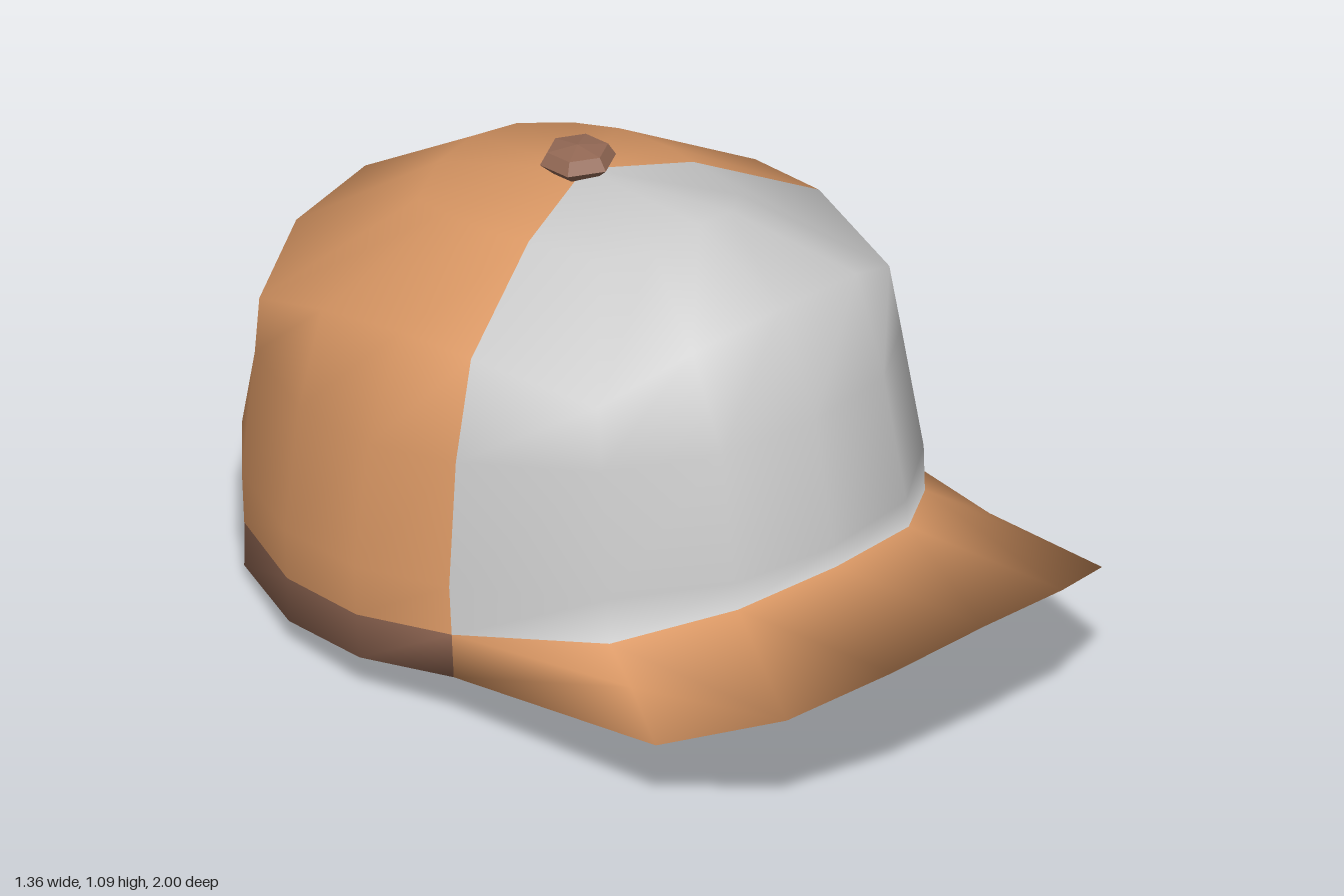
import * as THREE from 'three';

const ORANGE = 0xdd9a66, BROWN = 0x946955, GREY = 0xcccccc, N = 16, ZC = -0.24;
const V = (x, y, z) => new THREE.Vector3(x, y, z);

// Unit outline of the head, front to back (mirrored for the other side)
const OX = [0, 0.26, 0.48, 0.63, 0.675, 0.63, 0.48, 0.26, 0].map((v) => v / 0.675);
const OZ = [0.785, 0.745, 0.575, 0.245, 0, -0.26, -0.545, -0.72, -0.76];
// Lower rings: half width, front z, back z, then height at front, side and back
const LOWER = [
  [0.665, 0.54, -1.0, 0.18, 0.09, 0.0],
  [0.675, 0.55, -0.99, 0.29, 0.2, 0.113],
  [0.68, 0.54, -0.995, 0.41, 0.32, 0.235],
  [0.64, 0.485, -0.98, 0.7, 0.605, 0.53],
];
// Upper rings are boxier: half outline, front to back
const UPPER = [
  [[0, 0.935, 0.38], [0.25, 0.915, 0.36], [0.444, 0.82, 0.266], [0.53, 0.855, -0.035], [0.54, 0.845, -0.24],
    [0.52, 0.79, -0.5], [0.455, 0.69, -0.757], [0.243, 0.76, -0.857], [0, 0.785, -0.89]],
  [[0, 1.043, 0.13], [0.12, 1.02, 0.11], [0.21, 1.0, 0.04], [0.25, 0.993, -0.14], [0.27, 0.985, -0.24],
    [0.265, 0.975, -0.38], [0.24, 0.955, -0.49], [0.12, 0.98, -0.545], [0, 0.99, -0.56]],
];
// The lower front edge arches up where the brim is sewn on
const ARCH = [[0.345, 0.325, 0.25, 0.12], [0.365, 0.345, 0.28, 0.23]];

function makeGrid() {
  const lower = LOWER.map(([rx, zf, zb, yf, ys, yb], r) => OX.map((ox, h) => {
    const isFront = h < 4;
    const t = isFront ? OZ[h] / OZ[0] : OZ[h] / OZ[8];
    const y = r < 2 && isFront ? ARCH[r][h] : ys + t * ((isFront ? yf : yb) - ys);
    return [rx * ox, y, ZC + t * ((isFront ? zf : zb) - ZC)];
  }));
  const apex = OX.map(() => [0, 1.043, -0.22]);
  return [...lower, ...UPPER, apex].map((half) => Array.from({ length: N }, (_, k) => {
    const [x, y, z] = half[Math.min(k, N - k)];
    return V(k <= 8 ? x : -x, y, z);
  }));
}

// All fabric parts share welded points, so shading flows from one part to the next
function makeFabric() {
  const points = [], lookup = new Map(), parts = new Map();
  const weld = (p) => {
    const key = p.toArray().map((v) => Math.round(v * 1e4)).join();
    if (!lookup.has(key)) lookup.set(key, points.push(p) - 1);
    return lookup.get(key);
  };
  const loft = (name, color, rows) => {
    if (!parts.has(name)) parts.set(name, { color, idx: [] });
    const { idx } = parts.get(name);
    const ids = rows.map((row) => row.map(weld));
    const tri = (a, b, c) => { if (a !== b && b !== c && c !== a) idx.push(a, b, c); };
    for (let r = 0; r + 1 < ids.length; r++)
      for (let k = 0; k + 1 < ids[r].length; k++) {
        tri(ids[r][k], ids[r][k + 1], ids[r + 1][k + 1]);
        tri(ids[r][k], ids[r + 1][k + 1], ids[r + 1][k]);
      }
  };
  const addTo = (group) => {
    const whole = new THREE.BufferGeometry().setFromPoints(points);
    whole.setIndex([...parts.values()].flatMap((p) => p.idx));
    whole.computeVertexNormals();
    for (const [name, { color, idx }] of parts) {
      const geo = whole.clone();
      geo.setIndex(idx);
      const m = new THREE.Mesh(geo, new THREE.MeshStandardMaterial({ color, side: THREE.DoubleSide }));
      m.name = name;
      group.add(m);
    }
  };
  return { loft, addTo };
}

export function createModel() {
  const cap = new THREE.Group();
  cap.name = 'cap';
  const { loft, addTo } = makeFabric();
  const shell = makeGrid(), crown = makeGrid();
  const inner = makeGrid().map((ring, r) =>
    ring.map((p) => V(p.x * 0.94, p.y - (r > 3 ? 0.035 : 0), ZC + (p.z - ZC) * 0.94)));
  const pick = (ring, from, to) =>
    Array.from({ length: to - from + 1 }, (_, i) => ring[(from + i + N) % N]);

  // Notch at the back: its lower corners, flared sides and arched lip
  for (const [k, side, s] of [[7, 6, 1], [9, 10, -1]]) {
    crown[1][k].lerp(crown[1][side], 0.19);
    crown[2][k].set(s * 0.31, 0.25, -0.955);
  }
  const lip = [V(0.2, 0.265, -0.975), V(0, 0.29, -1), V(-0.2, 0.265, -0.975)];
  const lipInner = lip.map((p) => V(p.x, 0.2, p.z + 0.03));

  // Crown panels
  loft('frontPanel', GREY, crown.slice(1).map((ring) => pick(ring, -3, 3)));
  loft('rearCrown', ORANGE, crown.slice(3).map((ring) => pick(ring, 3, 13)));
  for (const [from, to] of [[3, 7], [9, 13]])
    loft('rearCrown', ORANGE, crown.slice(1, 4).map((ring) => pick(ring, from, to)));
  const [a, b, c] = pick(crown[3], 7, 9);
  loft('rearCrown', ORANGE, [
    [crown[2][7], ...lip, crown[2][9]],
    [a, a.clone().lerp(b, 0.5), b, b.clone().lerp(c, 0.5), c],
  ]);
  loft('rearCrown', ORANGE, [[crown[1][7], crown[1][7]], [crown[2][7], lip[0]]]);
  loft('rearCrown', ORANGE, [[crown[1][9], crown[1][9]], [lip[2], crown[2][9]]]);

  // Sweatband, rim and lining
  loft('band', BROWN, [pick(shell[0], 3, 13), pick(shell[1], 3, 13)]);
  loft('rim', BROWN, [pick(inner[0], 0, N), pick(shell[0], 0, N)]);
  loft('lining', BROWN, [6, 5, 4, 3, 0].map((r) => pick(inner[r], 0, N)));

  // Edges of the notch
  loft('notchLip', ORANGE, [lipInner, lip]);
  loft('strapTop', BROWN, [pick(shell[1], 6, 10), pick(inner[1], 6, 10)]);
  for (const [k, side, i] of [[7, 6, 0], [9, 10, 2]]) {
    const foot = inner[1][k].clone().lerp(inner[1][side], 0.19);
    const rows = [[crown[1][k], foot], [lip[i], lipInner[i]]];
    loft('notchSide', BROWN, i === 0 ? rows : rows.reverse());
  }

  // Brim: curved top and underside, with a ridge and a folded edge at each side
  const half = [V(0, 0.395, 1), V(0.26, 0.375, 0.98), V(0.48, 0.305, 0.88), V(0.6, 0.18, 0.6)];
  const edge = [...half.slice(1).reverse().map((p) => V(-p.x, p.y, p.z)), ...half];
  const rootTop = pick(shell[1], -3, 3), rootLow = pick(shell[0], -3, 3);
  loft('brimTop', ORANGE, [edge.slice(1, 6), rootTop.slice(1, 6)]);
  loft('brimUnderside', BROWN, [rootLow, edge]);
  for (const [i, j, s] of [[6, 5, 1], [0, 1, -1]]) {
    const ridge = V(s * 0.545, 0.25, 0.47);
    const top = [[edge[j], edge[i]], [edge[j], ridge], [rootTop[j], ridge], [rootTop[j], rootTop[i]]];
    const fold = [[rootTop[i], ridge, edge[i]], [rootLow[i], rootLow[i], edge[i]]];
    loft('brimTop', ORANGE, s > 0 ? top : top.map((row) => row.reverse()));
    loft('brimSide', ORANGE, s > 0 ? fold : fold.reverse());
  }
  addTo(cap);

  // Button on top
  const profile = [[0, -0.03], [0.055, -0.03], [0.085, -0.004], [0.068, 0.024], [0, 0.033]];
  const button = new THREE.Mesh(
    new THREE.LatheGeometry(profile.map(([x, y]) => new THREE.Vector2(x, y)), 6),
    new THREE.MeshStandardMaterial({ color: BROWN, flatShading: true }));
  button.name = 'button';
  button.position.set(0, 1.062, ZC);
  button.rotation.x = -0.04;
  cap.add(button);
  return cap;
}
